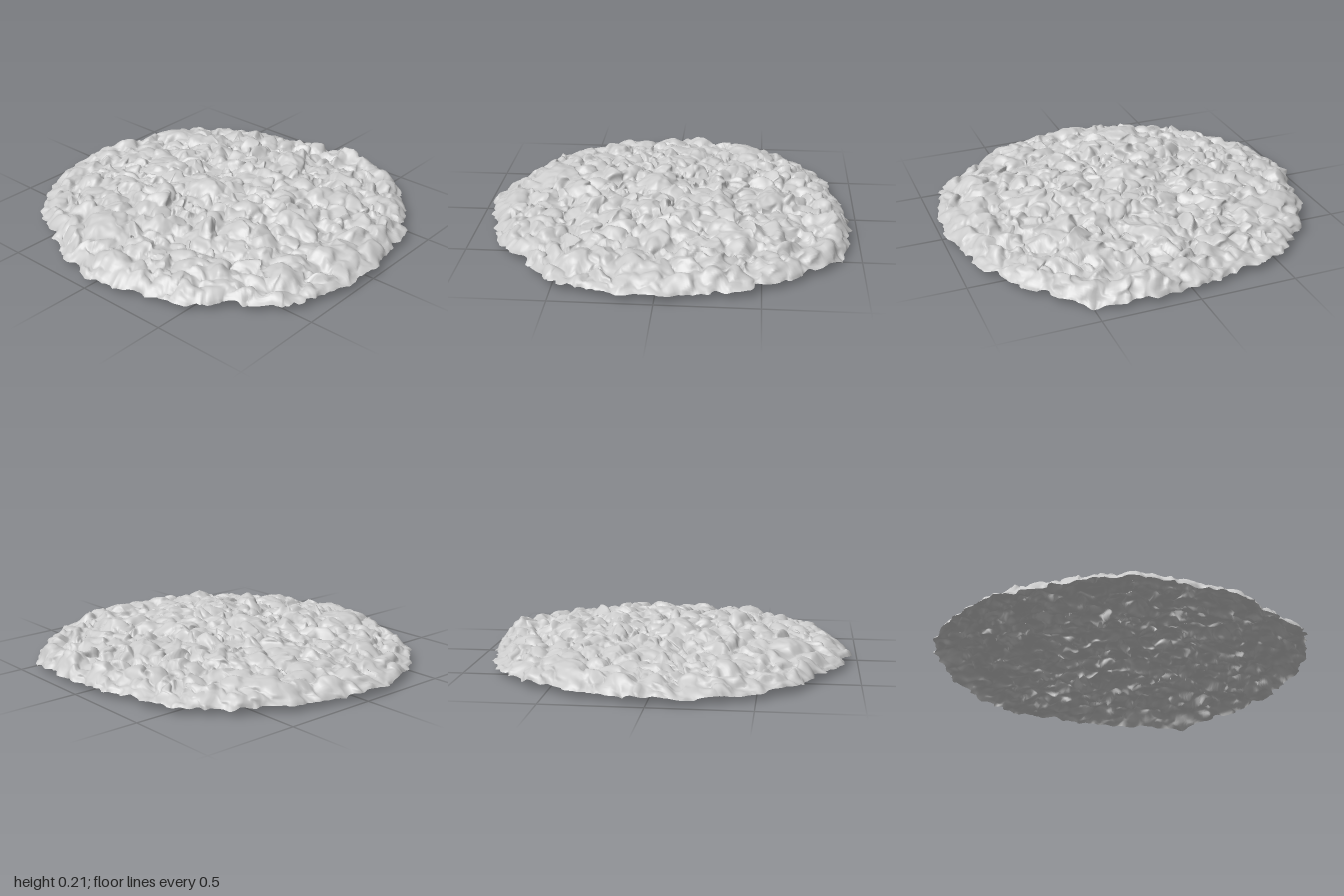
import * as THREE from 'three';

// Seeded random numbers
function makeRandom(seed) {
  return () => {
    seed = (seed * 1664525 + 1013904223) >>> 0;
    return seed / 4294967296;
  };
}

// Smooth value noise in the plane, -1..1, on a turned lattice
function hash(i, j) {
  const s = Math.sin(i * 127.1 + j * 311.7) * 43758.5453;
  return (s - Math.floor(s)) * 2 - 1;
}
function noise(px, pz) {
  const x = px * 0.8 - pz * 0.6 + 0.37, z = px * 0.6 + pz * 0.8 + 0.71;
  const i = Math.floor(x), j = Math.floor(z);
  const fx = x - i, fz = z - j;
  const u = fx * fx * (3 - 2 * fx), v = fz * fz * (3 - 2 * fz);
  const a = hash(i, j) * (1 - u) + hash(i + 1, j) * u;
  const b = hash(i, j + 1) * (1 - u) + hash(i + 1, j + 1) * u;
  return a * (1 - v) + b * v;
}

// Outline radius every 15 degrees, from +x towards +z
const OUTLINE = [0.98, 0.99, 0.99, 0.95, 0.95, 0.93, 0.95, 0.94, 0.91, 0.95, 0.97, 0.98,
  0.98, 0.95, 0.95, 0.96, 0.96, 0.93, 0.93, 0.98, 1.03, 0.99, 0.99, 0.97];
function outlineRadius(angle) {
  const n = OUTLINE.length;
  const f = (angle / (Math.PI * 2)) * n;
  const i = Math.floor(f), t = THREE.MathUtils.smoothstep(f - i, 0, 1);
  const base = OUTLINE[i % n] * (1 - t) + OUTLINE[(i + 1) % n] * t;
  const c = Math.cos(angle), s = Math.sin(angle);
  return base + 0.012 * noise(c * 10 + 40, s * 10) + 0.014 * noise(c * 26, s * 26 + 70)
    + 0.008 * noise(c * 55 + 20, s * 55);
}

// Stones: tilted, elongated bumps scattered over the heap
function makeStones() {
  const rnd = makeRandom(77);
  const stones = [];
  const add = (x, z, size, height, stretch, turn) => stones.push({
    x, z, size, height, stretch, c: Math.cos(turn), s: Math.sin(turn),
    tx: (rnd() - 0.5) * 1.6, tz: (rnd() - 0.5) * 1.6,
  });
  for (let k = 0; k < 1500; k++) {
    const r = Math.sqrt(rnd()), a = rnd() * Math.PI * 2;
    const size = 0.024 + 0.075 * Math.pow(rnd(), 2.5);
    add(r * Math.cos(a), r * Math.sin(a), size, 0.012 + size * (0.12 + 0.42 * rnd()),
      0.4 + 0.6 * rnd(), rnd() * Math.PI);
  }
  // The few larger boulders
  add(-0.17, 0.64, 0.2, 0.055, 0.8, 0.4);
  add(0.05, 0.85, 0.15, 0.045, 0.6, 0.1);
  add(0.36, -0.08, 0.15, 0.06, 0.4, 1.1);
  add(0.05, -0.54, 0.13, 0.065, 0.7, 0.5);
  add(-0.1, 0.05, 0.18, 0.055, 0.7, 0.2);
  add(-0.74, -0.4, 0.18, 0.055, 0.6, 2.7);
  add(0.2, 0.35, 0.09, 0.07, 0.7, 0.8);
  add(0.3, -0.87, 0.16, 0.075, 0.5, 0.1);
  return stones;
}

function stoneHeight(stones, px, pz) {
  // Warped lookup breaks up the regular outlines
  const x = px + 0.014 * noise(px * 19, pz * 19), z = pz + 0.014 * noise(px * 19 + 60, pz * 19);
  let top = 0;
  for (const k of stones) {
    const dx = x - k.x, dz = z - k.z;
    if (Math.abs(dx) > k.size || Math.abs(dz) > k.size) continue;
    const u = (dx * k.c + dz * k.s) / k.size;
    const v = (dz * k.c - dx * k.s) / (k.size * k.stretch);
    const d = u * u + v * v;
    if (d >= 1) continue;
    top = Math.max(top, k.height * Math.pow(1 - d, 0.75) * (1 + k.tx * u + k.tz * v));
  }
  return top;
}

// Low round heap as one open sheet of rings, dropping to a ragged rim
function rubbleGeometry() {
  const rings = 145, segments = 440;
  const stones = makeStones();
  const position = [], index = [];
  for (let i = 0; i <= rings; i++) {
    const r = i / rings;
    const rim = Math.pow(Math.min(1, (1 - r) / 0.09), 0.6);
    for (let j = 0; j < segments; j++) {
      const angle = (j / segments) * Math.PI * 2;
      const radius = outlineRadius(angle) * r;
      let x = radius * Math.cos(angle), z = radius * Math.sin(angle);
      let y = 0.036 + 0.096 * (1 - Math.pow(r, 1.8))
        + rim * (0.011 + stoneHeight(stones, x, z) + 0.009 * noise(x * 6, z * 6)
        + 0.004 * noise(x * 38, z * 38));
      y += (1 - rim) * 0.012 * noise(x * 18 + 9, z * 18);
      // Corner at the back that sags to the ground
      y -= (1 - rim) * 0.038 * Math.exp(-((x - 0.49) ** 2 + (z + 0.88) ** 2) / 0.004);
      // Sideways push makes the stones overhang a little
      const push = 0.016 * Math.min(1, r * 8);
      x += push * noise(x * 22 + 5, z * 22 + y * 20);
      z += push * noise(x * 22 - 31, z * 22 + 17 + y * 20);
      position.push(x, Math.max(0, y), z);
    }
  }
  for (let i = 0; i < rings; i++) {
    for (let j = 0; j < segments; j++) {
      const k = (j + 1) % segments;
      const a = i * segments + j, b = i * segments + k;
      const c = a + segments, d = b + segments;
      if (i > 0) index.push(a, b, c);
      index.push(b, d, c);
    }
  }
  const geometry = new THREE.BufferGeometry();
  geometry.setAttribute('position', new THREE.Float32BufferAttribute(position, 3));
  geometry.setIndex(index);
  geometry.computeVertexNormals();
  return geometry;
}

export function createModel() {
  const group = new THREE.Group();
  group.name = 'rubblePile';
  const material = new THREE.MeshStandardMaterial({ color: 0xcccccc, side: THREE.DoubleSide });
  const heap = new THREE.Mesh(rubbleGeometry(), material);
  heap.name = 'rubbleSurface';
  group.add(heap);
  return group;
}
